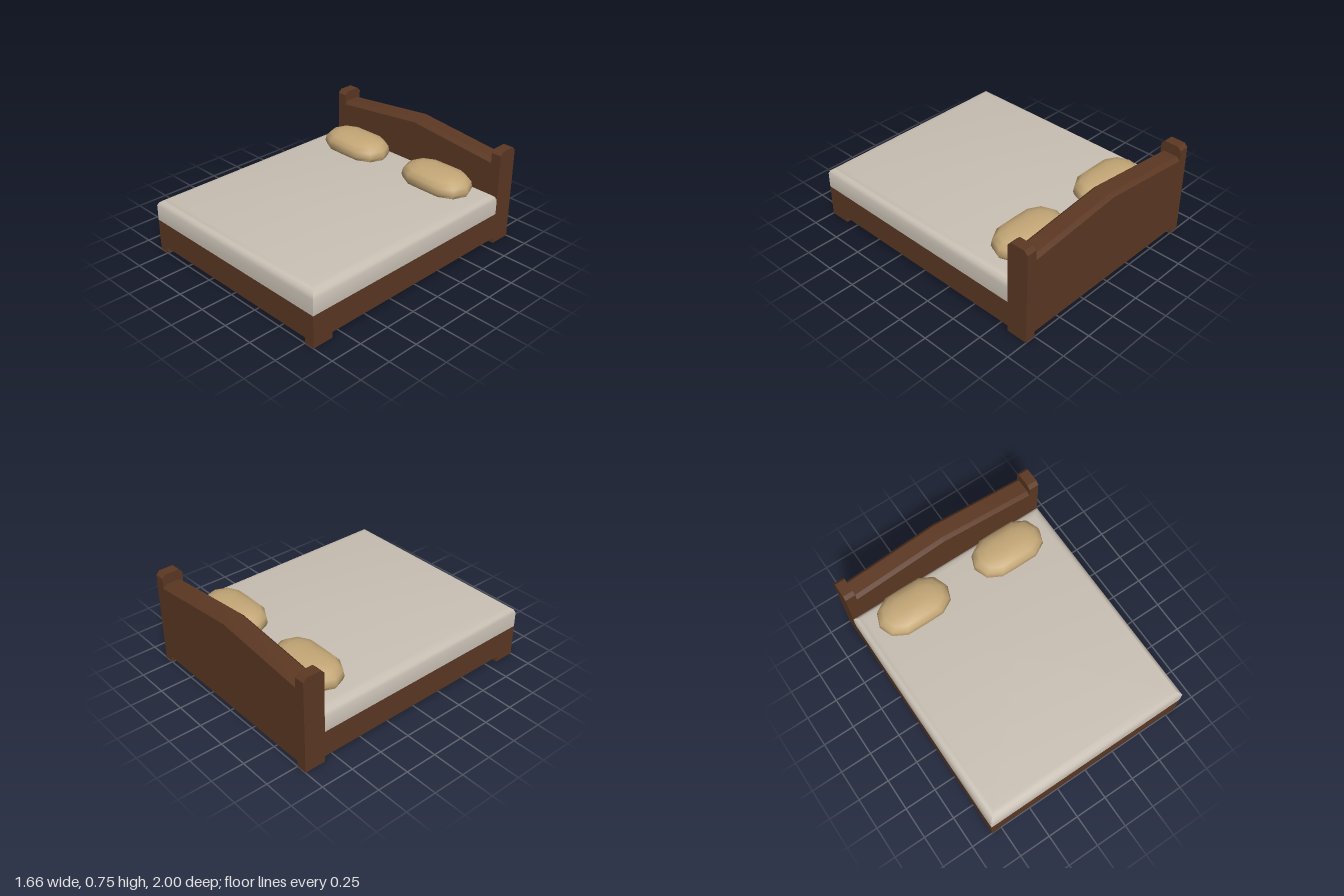
import * as THREE from 'three';
import { toCreasedNormals } from 'three/addons/utils/BufferGeometryUtils.js';

const HALF_W = 0.83, INNER = 0.75, FOOT = 0.045, DECK = 0.25;
const HEAD_FRONT = -0.835, FOOT_BACK = 0.835;

// Closed solid from rings of [x, y, z], each ring counter-clockwise seen from above
function loft(rings, crease) {
  const n = rings[0].length, pos = [];
  const tri = (a, b, c) => pos.push(...a, ...b, ...c);
  const centre = r => [0, 1, 2].map(k => r.reduce((s, p) => s + p[k], 0) / n);
  const bottom = rings[0], top = rings[rings.length - 1];
  const cb = centre(bottom), ct = centre(top);
  for (let j = 0; j < n; j++) {
    const k = (j + 1) % n;
    for (let i = 0; i < rings.length - 1; i++) {
      const lo = rings[i], hi = rings[i + 1];
      tri(lo[j], lo[k], hi[k]);
      tri(lo[j], hi[k], hi[j]);
    }
    tri(cb, bottom[k], bottom[j]);
    tri(ct, top[j], top[k]);
  }
  const g = new THREE.BufferGeometry();
  g.setAttribute('position', new THREE.Float32BufferAttribute(pos, 3));
  return toCreasedNormals(g, crease);
}

// Board across the bed with two feet below and the given top outline (right to left)
function endBoard(topPoints, zFrom, zTo, chamfer) {
  const shape = new THREE.Shape([
    [-HALF_W, 0], [-INNER, 0], [-INNER, FOOT], [INNER, FOOT], [INNER, 0], [HALF_W, 0],
    ...topPoints,
  ].map(([x, y]) => new THREE.Vector2(x, y)));
  const g = new THREE.ExtrudeGeometry(shape, { depth: 3, steps: 3, bevelEnabled: false });
  // Respace the layers and lower the top on the two outer ones to chamfer it
  const levels = [zFrom, zFrom + 0.027, zTo - 0.027, zTo];
  const p = g.attributes.position;
  for (let i = 0; i < p.count; i++) {
    const layer = Math.round(p.getZ(i));
    if ((layer === 0 || layer === 3) && p.getY(i) > 0.2) p.setY(i, p.getY(i) - chamfer);
    p.setZ(i, levels[layer]);
  }
  return toCreasedNormals(g, 0.5);
}

function mattressGeometry() {
  const profile = [[DECK, 0], [0.37, 0], [0.395, 0.012], [0.412, 0.035], [0.42, 0.07]];
  return loft(profile.map(([y, inset]) => {
    const x = HALF_W - inset, z0 = HEAD_FRONT + inset, z1 = 1 - inset;
    return [[x, y, z1], [x, y, z0], [-x, y, z0], [-x, y, z1]];
  }), 0.8);
}

function pillowGeometry() {
  // Rounded oblong rings: height, x scale, z scale
  const profile = [
    [0.418, 0.96, 0.92], [0.45, 1, 1], [0.495, 0.96, 0.98],
    [0.53, 0.82, 0.8], [0.55, 0.6, 0.5], [0.557, 0.3, 0.22],
  ];
  const quarter = [[0.295, 0], [0.255, 0.105], [0.15, 0.163]];
  const outline = [
    ...quarter,
    [0, 0.165],
    ...quarter.slice(1).reverse().map(([x, z]) => [-x, z]),
    [-0.295, 0],
    ...quarter.slice(1).map(([x, z]) => [-x, -z]),
    [0, -0.165],
    ...quarter.slice(1).reverse().map(([x, z]) => [x, -z]),
  ];
  return loft(profile.map(([y, sx, sz]) => outline.map(([x, z]) => [x * sx, y, -z * sz])), 1.2);
}

export function createModel() {
  const wood = new THREE.MeshStandardMaterial({ name: 'brown wood', color: 0x5c3823 });
  const sheet = new THREE.MeshStandardMaterial({ name: 'pale linen', color: 0xc9c0b4 });
  const cushion = new THREE.MeshStandardMaterial({ name: 'tan cotton', color: 0xc4a777 });

  const bed = new THREE.Group();
  bed.name = 'bed';
  const add = (name, geometry, material) => {
    const mesh = new THREE.Mesh(geometry, material);
    mesh.name = name;
    bed.add(mesh);
    return mesh;
  };

  // Headboard with square posts and a low gable
  add('headboard', endBoard([
    [HALF_W, 0.75], [INNER, 0.75], [INNER, 0.67], [0, 0.75],
    [-INNER, 0.67], [-INNER, 0.75], [-HALF_W, 0.75],
  ], -1, HEAD_FRONT, 0.027), wood);

  // Foot rail with its feet
  add('footRail', endBoard([[HALF_W, DECK], [-HALF_W, DECK]], FOOT_BACK, 1, 0), wood);

  // Side rails and pillows, mirrored
  const railLength = FOOT_BACK - HEAD_FRONT;
  const rail = new THREE.BoxGeometry(HALF_W - INNER, DECK - FOOT, railLength);
  const pillow = pillowGeometry();
  for (const [side, s] of [['left', 1], ['right', -1]]) {
    add(side + 'SideRail', rail, wood)
      .position.set(s * (HALF_W + INNER) / 2, (DECK + FOOT) / 2, 0);
    add(side + 'Pillow', pillow, cushion).position.set(s * 0.415, 0, -0.635);
  }

  // Mattress with a rounded upper edge
  add('mattress', mattressGeometry(), sheet);

  return bed;
}
